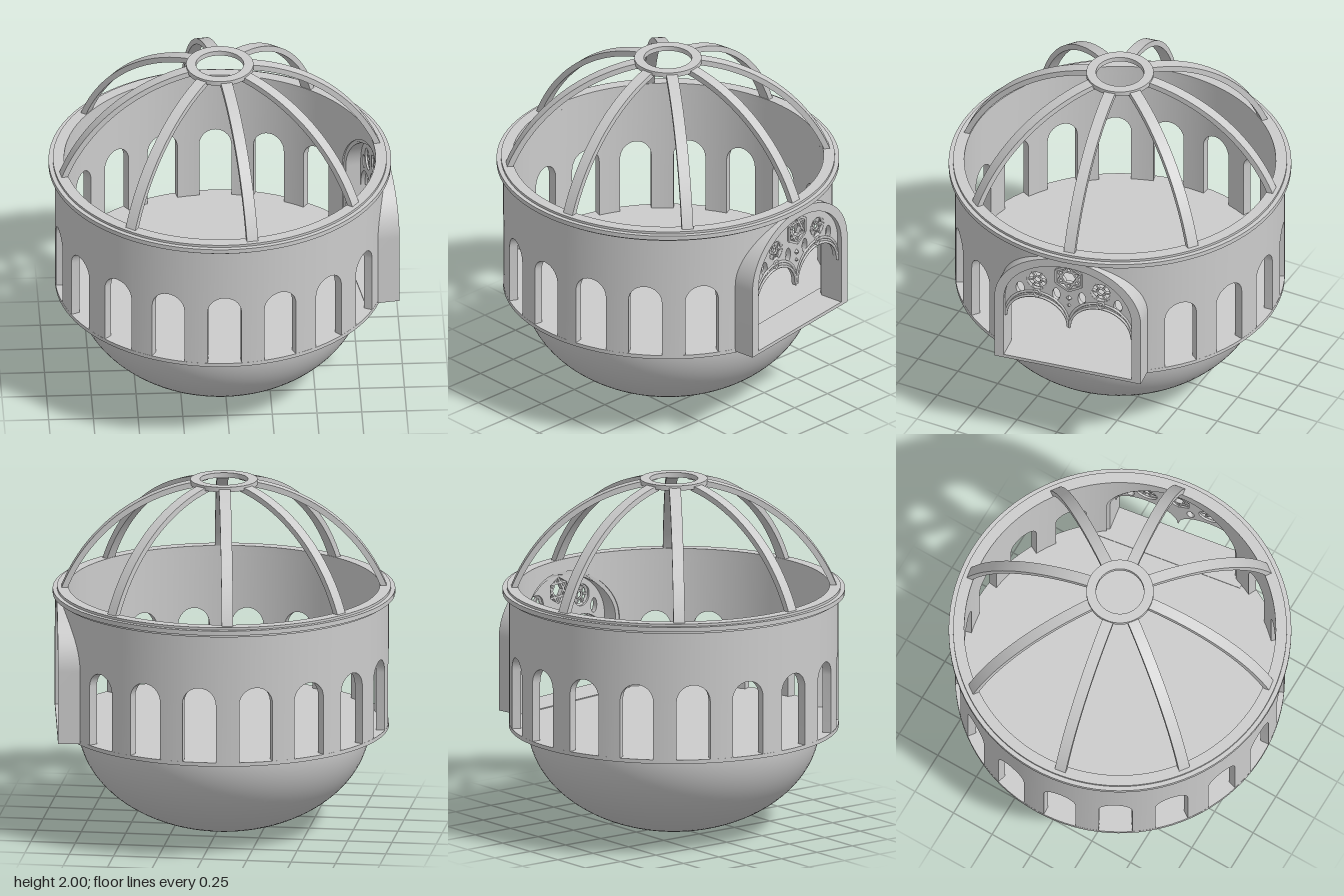
import * as THREE from 'three';
import { toCreasedNormals } from 'three/addons/utils/BufferGeometryUtils.js';

const mat = new THREE.MeshStandardMaterial({ color: 0xcccccc });
const rad = THREE.MathUtils.degToRad;
const DOOR = 99; // compass angle of the doorway, from +z towards +x

function add(parent, name, geo, crease = 0.5) {
  const mesh = new THREE.Mesh(crease ? toCreasedNormals(geo, crease) : geo, mat);
  mesh.name = name;
  parent.add(mesh);
  return mesh;
}

function lathe(profile, segments = 96) {
  return new THREE.LatheGeometry(profile.map(([x, y]) => new THREE.Vector2(x, y)), segments);
}

function extrude(shape, depth, z = 0, curveSegments = 24) {
  return new THREE.ExtrudeGeometry(shape, { depth, bevelEnabled: false, curveSegments }).translate(0, 0, z);
}

// Round wall lofted from radial sections whose lower edge follows each opening
function wallGeometry(rOut, rIn, top, base) {
  const sections = [];
  const bay = (centre, half, open, spring, rise, steps) => {
    const put = (a, y) => sections.push([rad(centre + a), y]);
    put(-half, base);
    put(-(half + open) / 2, base);
    put(-open, base);
    for (let i = 0; i <= steps; i++) {
      const t = (Math.PI * i) / steps;
      put(-open * Math.cos(t), spring + rise * Math.sin(t));
    }
    put(open, base);
    put((half + open) / 2, base);
  };
  for (let k = 0; k < 18; k++) {
    if (k === 4 || k === 6) continue; // taken up by the doorway
    if (k === 5) bay(DOOR, 30, 26.5, 1.0, 0.315, 32);
    else bay(-1 + 20 * k, 10, 5.9, 0.935, 0.095, 14);
  }
  const pos = [], index = [], n = sections.length;
  for (const [a, y] of sections) {
    for (const [r, h] of [[rOut, y], [rOut, top], [rIn, top], [rIn, y]]) {
      pos.push(r * Math.sin(a), h, r * Math.cos(a));
    }
  }
  for (let i = 0; i < n; i++) {
    for (let j = 0; j < 4; j++) {
      const a = i * 4 + j, d = i * 4 + ((j + 1) % 4);
      const b = ((i + 1) % n) * 4 + j, c = ((i + 1) % n) * 4 + ((j + 1) % 4);
      index.push(a, b, c, a, c, d);
    }
  }
  const geo = new THREE.BufferGeometry();
  geo.setAttribute('position', new THREE.Float32BufferAttribute(pos, 3));
  geo.setIndex(index);
  return geo;
}

// Straight bar between two points of the doorway plane
function bar(parent, name, x0, y0, x1, y1, width, depth, z) {
  const geo = new THREE.BoxGeometry(Math.hypot(x1 - x0, y1 - y0), width, depth);
  geo.rotateZ(Math.atan2(y1 - y0, x1 - x0));
  add(parent, name, geo.translate((x0 + x1) / 2, (y0 + y1) / 2, z), 0);
}

function ellipsePath(cx, cy, rx, ry) {
  return new THREE.Path().absellipse(cx, cy, rx, ry, 0, Math.PI * 2);
}

function buildDoorway() {
  const door = new THREE.Group();
  door.name = 'doorway';
  const face = 0.936;

  // Arched surround: flat in front, its back following the round wall
  const frame = new THREE.Shape();
  frame.moveTo(0.43, 0.6);
  frame.lineTo(0.43, 1.0);
  frame.absellipse(0, 1.0, 0.43, 0.345, 0, Math.PI);
  frame.lineTo(-0.43, 0.6);
  frame.lineTo(-0.375, 0.6);
  frame.lineTo(-0.375, 1.0);
  frame.absellipse(0, 1.0, 0.375, 0.295, Math.PI, 0, true);
  frame.lineTo(0.375, 0.6);
  const geo = extrude(frame, 1, 0, 40);
  const p = geo.attributes.position;
  for (let i = 0; i < p.count; i++) {
    p.setZ(i, p.getZ(i) > 0.5 ? face : Math.sqrt(0.88 ** 2 - p.getX(i) ** 2));
  }
  add(door, 'doorFrame', geo);
  add(door, 'doorSill', new THREE.BoxGeometry(0.86, 0.02, 0.2).translate(0, 0.597, face - 0.1), 0);

  // Pierced plate over two small arches with a pendant between them
  const plate = new THREE.Shape();
  plate.moveTo(0.4, 0.87);
  plate.lineTo(0.4, 1.0);
  plate.absellipse(0, 1.0, 0.4, 0.32, 0, Math.PI);
  plate.lineTo(-0.4, 0.87);
  plate.lineTo(-0.37, 0.87);
  plate.absellipse(-0.187, 0.87, 0.183, 0.17, Math.PI, 0, true);
  plate.lineTo(0, 0.855);
  plate.absellipse(0.187, 0.87, 0.183, 0.17, Math.PI, 0, true);
  const hexCorner = (i, r) => [r * Math.sin((i * Math.PI) / 3), 1.21 + r * Math.cos((i * Math.PI) / 3)];
  const hex = new THREE.Path();
  for (let i = 0; i < 6; i++) hex[i ? 'lineTo' : 'moveTo'](...hexCorner(i, 0.08));
  hex.closePath();
  plate.holes.push(hex);
  for (const s of [-1, 1]) {
    plate.holes.push(
      ellipsePath(s * 0.187, 1.15, 0.062, 0.062),
      ellipsePath(s * 0.287, 1.075, 0.024, 0.042),
      ellipsePath(s * 0.075, 1.08, 0.022, 0.042));
  }
  add(door, 'traceryPlate', extrude(plate, 0.03, 0.88));

  for (const s of [-1, 1]) {
    // Round window with spokes, and a small ring hanging below it
    const rose = new THREE.Group();
    rose.name = 'roseWindow';
    rose.position.set(s * 0.187, 1.15, 0.9);
    door.add(rose);
    add(rose, 'roseRing', new THREE.TorusGeometry(0.06, 0.01, 6, 32), 0);
    add(rose, 'roseHub', new THREE.TorusGeometry(0.022, 0.007, 6, 20), 0);
    for (let i = 0; i < 6; i++) {
      const a = (i * Math.PI) / 3;
      const c = Math.cos(a), q = Math.sin(a);
      bar(rose, 'roseSpoke', 0.02 * c, 0.02 * q, 0.06 * c, 0.06 * q, 0.01, 0.02, 0);
    }
    add(door, 'smallRing', new THREE.TorusGeometry(0.02, 0.006, 6, 20).translate(s * 0.187, 1.065, 0.912), 0);

    // Mouldings along each small arch
    for (const [grow, z] of [[0, 0.912], [0.03, 0.91]]) {
      const pts = [];
      for (let i = 0; i <= 16; i++) {
        const t = (Math.PI * i) / 16;
        pts.push(new THREE.Vector3(s * 0.187 + 0.183 * Math.cos(t), 0.87 + grow + 0.17 * Math.sin(t), z));
      }
      add(door, 'archMoulding', new THREE.TubeGeometry(new THREE.CatmullRomCurve3(pts), 32, 0.008, 6), 0);
    }
  }

  // Six-pointed lattice in the crown, with a boss under it
  for (let i = 0; i < 6; i++) {
    bar(door, 'crownLattice', ...hexCorner(i, 0.08), ...hexCorner(i + 2, 0.08), 0.012, 0.025, 0.9);
    bar(door, 'crownEdge', ...hexCorner(i, 0.085), ...hexCorner(i + 1, 0.085), 0.014, 0.04, 0.9);
  }
  add(door, 'boss', new THREE.OctahedronGeometry(0.018).translate(0, 1.07, 0.91), 0);
  add(door, 'lowerBoss', new THREE.OctahedronGeometry(0.012).translate(0, 1.02, 0.91), 0);

  door.rotation.y = rad(DOOR);
  return door;
}

export function createModel() {
  const model = new THREE.Group();
  model.name = 'domedPavilion';
  const body = new THREE.Group();
  body.name = 'rotunda';
  body.position.x = -0.02;
  model.add(body);

  // Bowl-shaped underside and floor slab
  const bowl = [];
  for (let i = 0; i <= 32; i++) {
    const t = (i / 32) * Math.PI / 2;
    bowl.push([0.815 * Math.sin(t), 0.585 * (1 - Math.cos(t))]);
  }
  add(body, 'bowl', lathe(bowl), 0);
  add(body, 'floor', new THREE.CylinderGeometry(0.921, 0.921, 0.022, 96).translate(0, 0.591, 0), 0);

  // Arcaded wall and stepped rim
  add(body, 'wall', wallGeometry(0.92, 0.87, 1.34, 0.6));
  add(body, 'rim', lathe([
    [0.87, 1.33], [0.932, 1.33], [0.932, 1.346], [0.957, 1.346], [0.957, 1.372],
    [0.932, 1.372], [0.932, 1.386], [0.87, 1.386], [0.87, 1.33]]));

  body.add(buildDoorway());

  // Open dome: eight curved ribs meeting at a ring
  const rib = new THREE.Shape();
  const a0 = 0.35, a1 = 1.405;
  rib.absarc(0, 1.03, 0.975, a0, a1, false);
  rib.absarc(0, 1.03, 0.943, a1, a0, true);
  const ribGeo = extrude(rib, 0.064, -0.032, 32);
  for (let k = 0; k < 8; k++) {
    add(body, 'domeRib', ribGeo).rotation.y = rad(9 + 45 * k - 90);
  }
  add(body, 'crownRing', lathe([
    [0.134, 1.972], [0.188, 1.972], [0.188, 2], [0.134, 2], [0.134, 1.972]], 64));

  return model;
}
